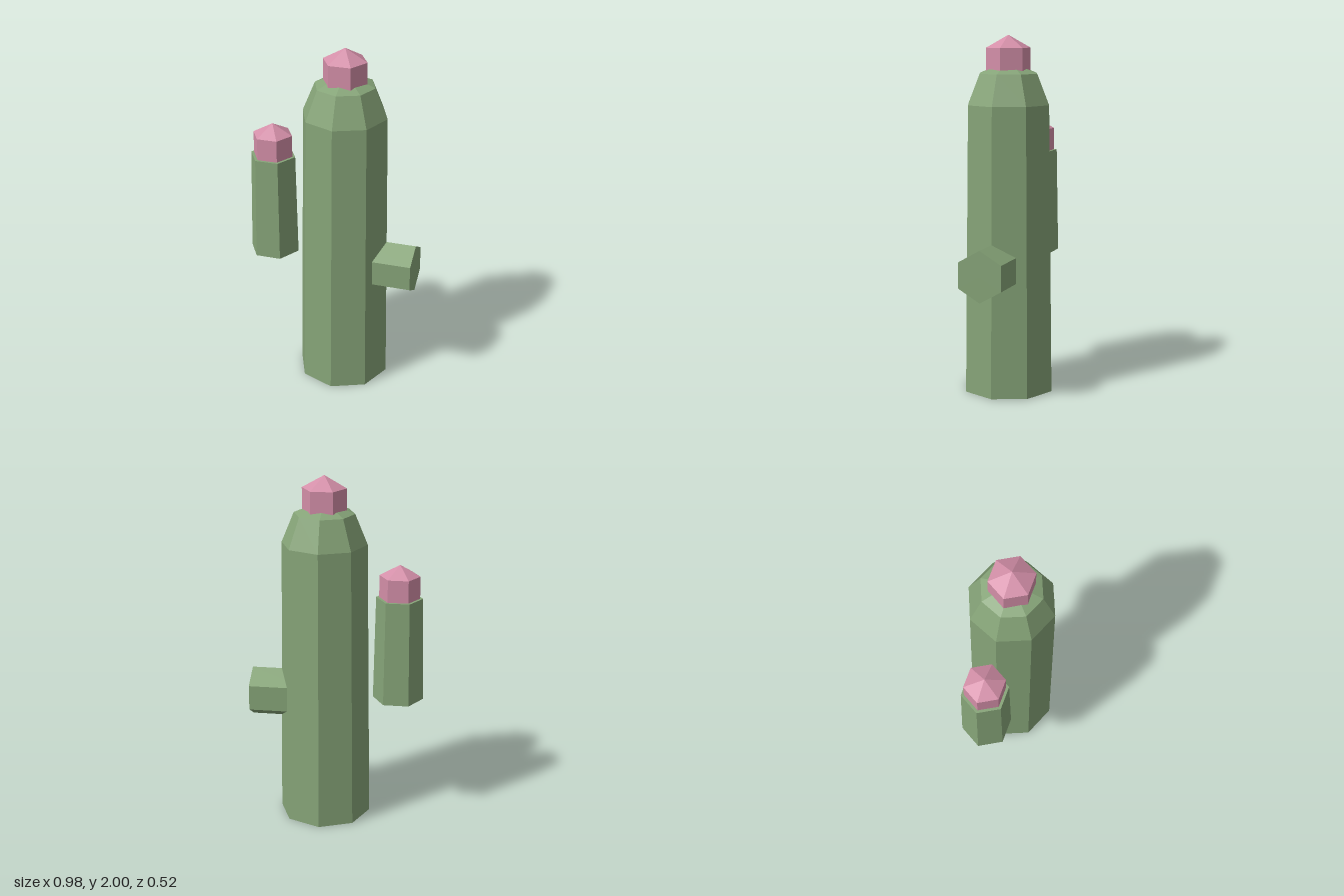
import * as THREE from 'three';

const green = new THREE.MeshStandardMaterial({ color: 0x86a478 });
green.name = 'cactus green';
const pink = new THREE.MeshStandardMaterial({ color: 0xd38fa8 });
pink.name = 'blossom pink';

// Faceted mesh: split the faces so each gets its own normal
function part(name, geometry, material) {
  const flat = geometry.index ? geometry.toNonIndexed() : geometry;
  flat.computeVertexNormals();
  const mesh = new THREE.Mesh(flat, material);
  mesh.name = name;
  return mesh;
}

// Six-sided prism with corners on +x and -x
const hexPrism = (top, bottom, height) =>
  new THREE.CylinderGeometry(top, bottom, height, 6, 1, false, Math.PI / 6);

// Six-sided bud with a pointed tip, standing on y = 0
function blossom(name, radius, height, tip) {
  const group = new THREE.Group();
  group.name = name;
  const cup = part('blossomCup', hexPrism(radius, radius, height), pink);
  cup.position.y = height / 2;
  const point = part('blossomTip',
    new THREE.ConeGeometry(radius, tip, 6, 1, true, Math.PI / 6), pink);
  point.position.y = height + tip / 2;
  group.add(cup, point);
  return group;
}

export function createModel() {
  const cactus = new THREE.Group();
  cactus.name = 'cactus';

  // Eight-sided tapering trunk with a coarse dome
  const profile = [[0, 0], [0.262, 0], [0.24, 1.62], [0.17, 1.79], [0, 1.86]]
    .map(([r, y]) => new THREE.Vector2(r, y));
  const trunk = part('trunk', new THREE.LatheGeometry(profile, 8), green);
  trunk.position.x = 0.07;

  // Blossom on the trunk
  const topBlossom = blossom('topBlossom', 0.124, 0.13, 0.07);
  topBlossom.position.set(0.07, 1.8, 0);

  // Upright arm beside the trunk
  const arm = part('uprightArm', hexPrism(0.131, 0.143, 0.598), green);
  arm.position.set(-0.35, 0.725 + 0.299, 0);
  const armBlossom = blossom('armBlossom', 0.114, 0.13, 0.063);
  armBlossom.position.set(-0.35, 1.32, 0);

  // Short sideways stub
  const stub = part('sideStub', hexPrism(0.144, 0.144, 0.34), green);
  stub.rotation.z = -Math.PI / 2;
  stub.position.set(0.32, 0.725, 0);

  cactus.add(trunk, topBlossom, arm, armBlossom, stub);
  return cactus;
}
